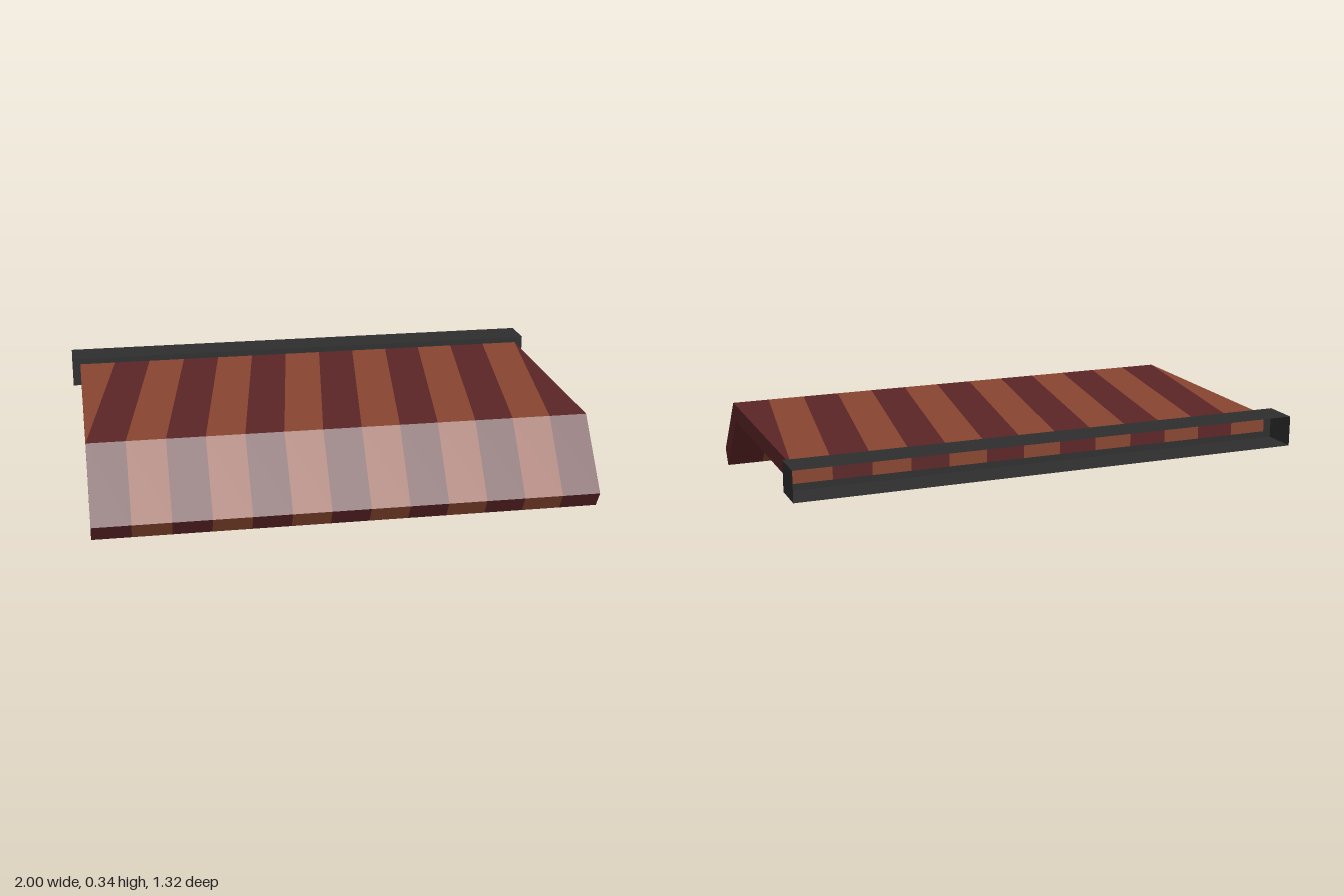
import * as THREE from 'three';

const STRIPES = 13, HALF = 0.967, PITCH = (2 * HALF) / STRIPES;

// Side profile as [z, y]
const BACK_TOP = [-0.522, 0.315], FOLD_TOP = [0.452, 0.315], TIP_TOP = [0.66, 0.064];
const TIP_LOW = [0.621, 0], FOLD_LOW = [0.42, 0.247], BACK_LOW = [-0.522, 0.247];

const edgeX = (k) => THREE.MathUtils.clamp(-HALF + k * PITCH, -HALF, HALF);

// Adds a quad, dropping any triangle that collapses to a line
function quad(out, a, b, c, d) {
  for (const [p, q, r] of [[a, b, c], [a, c, d]]) {
    const t = new THREE.Triangle(...[p, q, r].map((v) => new THREE.Vector3(...v)));
    if (t.getArea() > 1e-7) out.push(...p, ...q, ...r);
  }
}

function toMesh(positions, material, name) {
  const geometry = new THREE.BufferGeometry();
  geometry.setAttribute('position', new THREE.Float32BufferAttribute(positions, 3));
  geometry.computeVertexNormals();
  const mesh = new THREE.Mesh(geometry, material);
  mesh.name = name;
  return mesh;
}

// Striped slab: loop is four profile points, open lists the segments to skin,
// slant gives the sideways shift (in stripes) at each profile point
function stripedSlab(name, loop, segments, slant, materials) {
  const skins = [[], []];
  for (let k = -1; k < STRIPES; k++) {
    const out = skins[Math.abs(k) % 2];
    const left = loop.map(([z, y], i) => [edgeX(k + slant[i]), y, z]);
    const right = loop.map(([z, y], i) => [edgeX(k + 1 + slant[i]), y, z]);
    for (const i of segments) {
      const j = (i + 1) % 4;
      quad(out, left[i], left[j], right[j], right[i]);
    }
  }
  // End walls
  const end = (x) => loop.map(([z, y]) => [x, y, z]);
  quad(skins[0], ...end(HALF));
  quad(skins[slant.some((s) => s > 0) ? 1 : 0], ...end(-HALF).reverse());

  const group = new THREE.Group();
  group.name = name;
  group.add(toMesh(skins[0], materials[0], name + 'DarkStripes'));
  group.add(toMesh(skins[1], materials[1], name + 'LightStripes'));
  return group;
}

export function createModel() {
  const darkRed = new THREE.MeshStandardMaterial({ color: 0x5c2527 });
  darkRed.name = 'dark red fabric';
  const rust = new THREE.MeshStandardMaterial({ color: 0x884630 });
  rust.name = 'rust fabric';
  const charcoal = new THREE.MeshStandardMaterial({ color: 0x2e2e2e, side: THREE.DoubleSide });
  charcoal.name = 'charcoal metal';
  const fabric = [darkRed, rust];

  const model = new THREE.Group();
  model.name = 'awning';

  // Flat canopy with slanting stripes
  model.add(stripedSlab('canopy', [BACK_TOP, FOLD_TOP, FOLD_LOW, BACK_LOW],
    [0, 2, 3], [1, 0, 0, 1], fabric));

  // Sloping front valance with straight stripes
  model.add(stripedSlab('valance', [FOLD_TOP, TIP_TOP, TIP_LOW, FOLD_LOW],
    [0, 1, 2], [0, 0, 0, 0], fabric));

  // Wall housing: thin box, open at the back
  const box = new THREE.BoxGeometry(2, 0.118, 0.14);
  box.setIndex(Array.from(box.index.array).slice(0, 30));
  box.clearGroups();
  const housing = new THREE.Mesh(box, charcoal);
  housing.name = 'wallHousing';
  housing.position.set(0, 0.28, -0.59);
  model.add(housing);

  return model;
}
